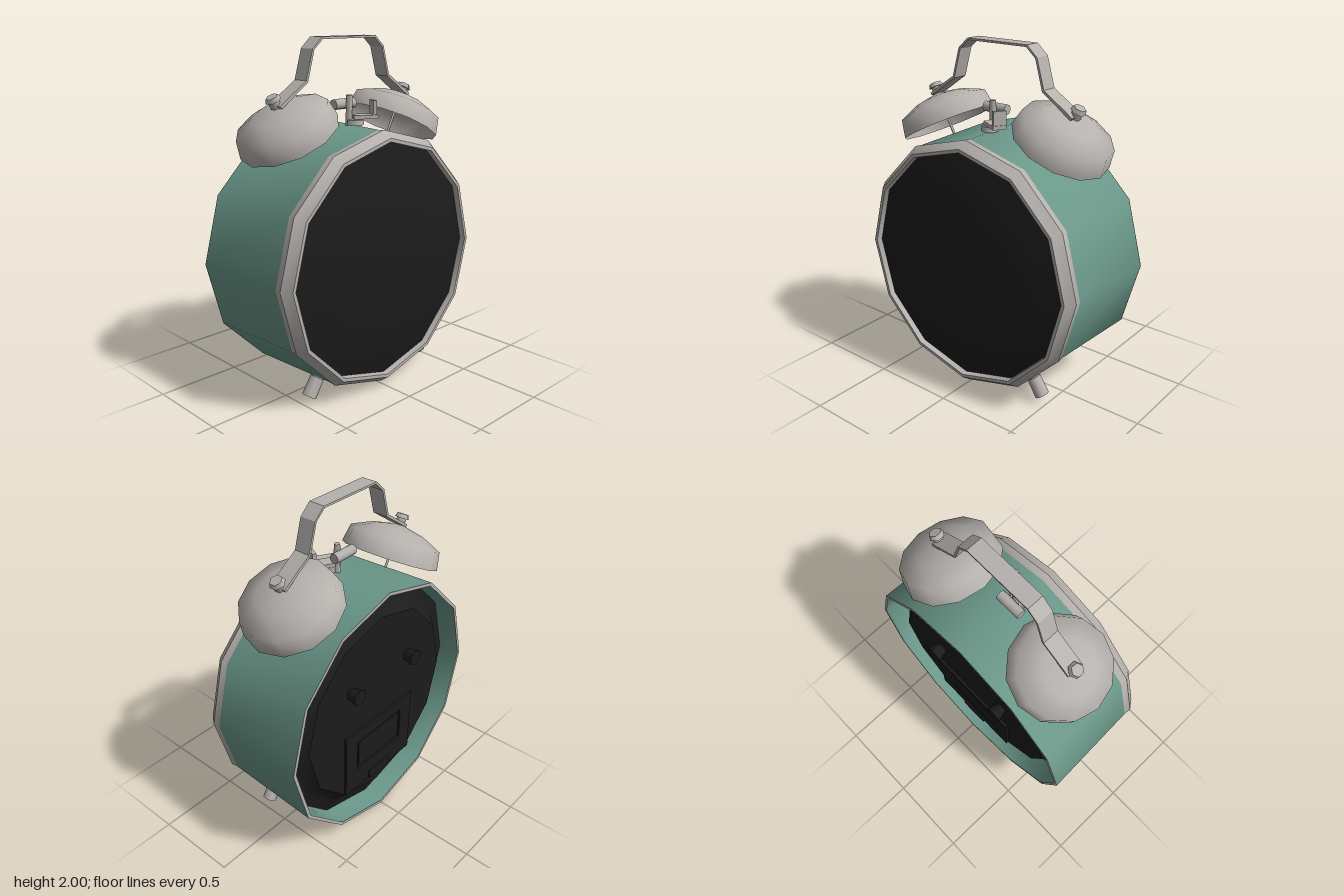
import * as THREE from 'three';
import { toCreasedNormals } from 'three/addons/utils/BufferGeometryUtils.js';

const CENTRE_Y = 0.765; // axis of the round case
const SIDES = 12;

function material(name, color, side = THREE.FrontSide) {
  const m = new THREE.MeshStandardMaterial({ color, side });
  m.name = name;
  return m;
}

export function createModel() {
  const green = material('green enamel', 0x6b988a, THREE.DoubleSide);
  const metal = material('brushed metal', 0xb5b1ad, THREE.DoubleSide);
  const black = material('black plastic', 0x1c1c1c);
  const clock = new THREE.Group();
  clock.name = 'alarmClock';

  const add = (name, geometry, mat, x = 0, y = 0, z = 0, parent = clock) => {
    const mesh = new THREE.Mesh(geometry, mat);
    mesh.name = name;
    mesh.position.set(x, y, z);
    parent.add(mesh);
    return mesh;
  };
  // Turned profile of [radius, height] pairs
  const turned = (profile, crease = 0.6) => toCreasedNormals(
    new THREE.LatheGeometry(profile.map(([r, h]) => new THREE.Vector2(r, h)), SIDES), crease);
  // Turned part whose axis points to the front
  const round = (name, profile, mat, crease) =>
    add(name, turned(profile, crease).rotateX(Math.PI / 2), mat, 0, CENTRE_Y);

  // Case, open at the back with a recessed plate that rises in the middle
  round('case', [[0.735, -0.23], [0.75, -0.36], [0.762, -0.36], [0.74, 0.235]], green);
  round('backRim', [[0.742, -0.361], [0.762, -0.361]], metal);
  round('bezel', [[0.70, 0.225], [0.739, 0.225], [0.745, 0.275], [0.705, 0.328],
    [0.685, 0.328], [0.68, 0.28]], metal);
  round('face', [[0.69, 0.29], [0.55, 0.332], [0.42, 0.356], [0.25, 0.374], [0, 0.378]], black, 0.8);
  round('backPlate', [[0, -0.31], [0.59, -0.31], [0.65, -0.25], [0.735, -0.23]], black);

  // Battery door: raised frame, inner panel and latch
  const points = (list) => list.map(([x, y]) => new THREE.Vector2(x, y));
  const frame = new THREE.Shape(points([[-0.3, 0.26], [0.3, 0.26], [0.3, 0.69], [-0.3, 0.69]]));
  frame.holes.push(new THREE.Path(points([[-0.2, 0.4], [-0.2, 0.61], [0.2, 0.61], [0.2, 0.4]])));
  add('batteryDoor', new THREE.ExtrudeGeometry(frame, { depth: 0.02, bevelEnabled: false }),
    black, 0, 0, -0.325);
  add('batteryPanel', new THREE.BoxGeometry(0.37, 0.18, 0.015), black, 0, 0.505, -0.315);
  add('batteryLatch', new THREE.BoxGeometry(0.18, 0.06, 0.03), black, 0, 0.29, -0.32);

  for (const s of [-1, 1]) {
    const side = s > 0 ? 'left' : 'right';

    // Setting knob on the back
    add(side + 'Knob', new THREE.CylinderGeometry(0.035, 0.052, 0.07, 6).rotateX(Math.PI / 2),
      black, s * 0.25, 0.99, -0.343);

    // Bell with its post and nut, leaning outward
    const bell = new THREE.Group();
    bell.name = side + 'BellGroup';
    bell.position.set(s * 0.4, 1.48, -0.045);
    bell.rotation.z = -s * 0.475;
    clock.add(bell);
    add(side + 'Bell', turned([[0.288, 0], [0.268, 0.105], [0.15, 0.158], [0, 0.19]], 1.1),
      metal, 0, 0, 0, bell);
    add(side + 'BellPost', new THREE.CylinderGeometry(0.008, 0.008, 0.32, 6), metal, 0, 0.03, 0, bell);
    add(side + 'BellWasher', new THREE.CylinderGeometry(0.03, 0.03, 0.05, 6), metal, 0, 0.205, 0, bell);
    add(side + 'BellNut', new THREE.CylinderGeometry(0.035, 0.045, 0.025, 6), metal, 0, 0.237, 0, bell);

    // Foot, pointing away from the case axis
    const foot = add(side + 'Foot', new THREE.CylinderGeometry(0.04, 0.042, 0.115, 8),
      metal, s * 0.435, 0.095, 0.163);
    foot.rotation.z = s * 0.575;
  }

  // Carrying handle: a bent strip from bell to bell
  const half = [[0.2, 1.988], [0.26, 1.935], [0.308, 1.765], [0.46, 1.66], [0.49, 1.64],
    [0.5, 1.653], [0.47, 1.675], [0.32, 1.775], [0.272, 1.94], [0.205, 2]];
  const mirrored = half.map(([x, y]) => [-x, y]).reverse();
  const strip = new THREE.Shape(points([...half, ...mirrored]));
  add('handle', new THREE.ExtrudeGeometry(strip, { depth: 0.096, bevelEnabled: false }),
    metal, 0, 0, -0.088);

  // Hammer between the bells, with its bracket
  add('hammerHead', new THREE.CylinderGeometry(0.03, 0.03, 0.155, 8).rotateZ(Math.PI / 2),
    metal, -0.022, 1.628, -0.02);
  add('hammerStem', new THREE.CylinderGeometry(0.018, 0.022, 0.17, 6), metal, -0.015, 1.595, 0.02);
  add('hammerBase', new THREE.CylinderGeometry(0.045, 0.05, 0.03, 6), metal, -0.005, 1.53, 0.06);
  const bracket = add('hammerBracket', new THREE.BoxGeometry(0.14, 0.022, 0.075), metal, 0.045, 1.56, 0.08);
  const arm = add('hammerArm', new THREE.BoxGeometry(0.022, 0.1, 0.075), metal, 0.095, 1.6, 0.1);
  bracket.rotation.y = arm.rotation.y = -0.5;

  return clock;
}
